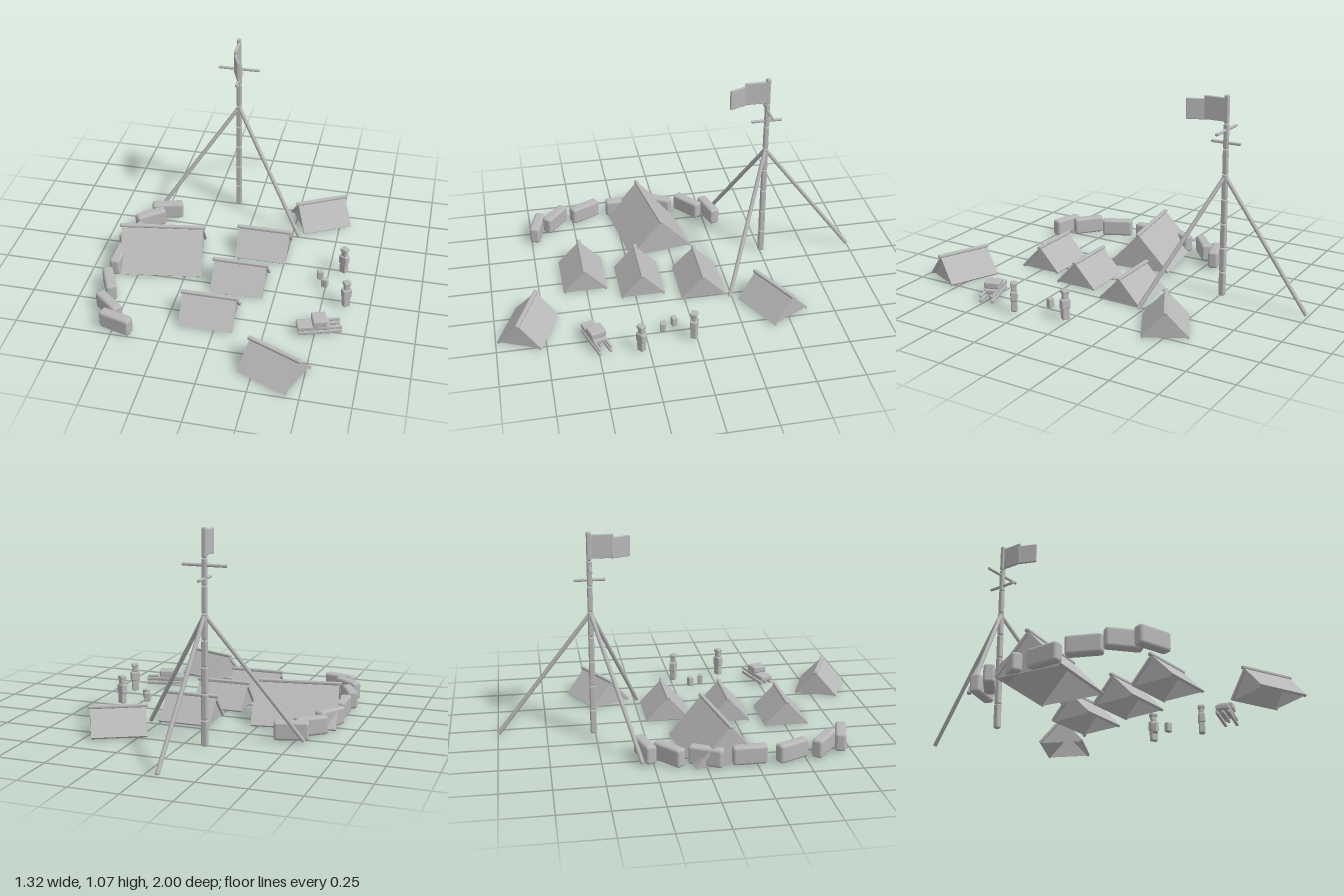
import * as THREE from 'three';
import { RoundedBoxGeometry } from 'three/addons/geometries/RoundedBoxGeometry.js';

const grey = new THREE.MeshStandardMaterial({ color: 0xb8b8b8, side: THREE.DoubleSide });
grey.name = 'plain grey';

function add(parent, name, geometry, x = 0, y = 0, z = 0, turn = 0) {
  const mesh = new THREE.Mesh(geometry, grey);
  mesh.name = name;
  mesh.position.set(x, y, z);
  mesh.rotation.y = turn;
  parent.add(mesh);
  return mesh;
}

function group(parent, name, x, z, turn = 0) {
  const g = new THREE.Group();
  g.name = name;
  g.position.set(x, 0, z);
  g.rotation.y = turn;
  parent.add(g);
  return g;
}

const box = (w, h, d) => new THREE.BoxGeometry(w, h, d);
const soft = (w, h, d, r) => new RoundedBoxGeometry(w, h, d, 2, r);
const polygon = (pts) => new THREE.Shape(pts.map(([x, y]) => new THREE.Vector2(x, y)));

// Straight bar between two points
function bar(parent, name, a, b, radius) {
  const from = new THREE.Vector3(...a), to = new THREE.Vector3(...b);
  const dir = to.clone().sub(from);
  const mesh = add(parent, name, new THREE.CylinderGeometry(radius, radius, dir.length(), 8));
  mesh.position.copy(from).add(to).multiplyScalar(0.5);
  mesh.quaternion.setFromUnitVectors(new THREE.Vector3(0, 1, 0), dir.normalize());
}

// Ridge tent: folded canvas, recessed end walls and a ridge pole along x
function tent(parent, name, x, z, turn, length, half, h) {
  const g = group(parent, name, x, z, turn);
  const top = h - 0.008;
  const canvas = new THREE.ExtrudeGeometry(polygon([
    [0, top], [half, 0.009], [half - 0.01, 0], [0, top - 0.018], [0.01 - half, 0], [-half, 0.009],
  ]), { depth: length, bevelEnabled: false });
  canvas.translate(0, 0, -length / 2).rotateY(Math.PI / 2);
  add(g, 'canvas', canvas);
  for (const s of [-1, 1]) {
    const wall = new THREE.ShapeGeometry(polygon([[0.01 - half, 0.002], [half - 0.01, 0.002], [0, top - 0.016]]));
    wall.rotateY(s * Math.PI / 2);
    add(g, 'endWall', wall, s * (length / 2 - 0.012));
  }
  add(g, 'ridgePole', soft(length + 0.022, 0.017, 0.022, 0.006), 0, h - 0.0085, 0);
}

// Standing figure made of rounded blocks
function figure(parent, x, z, turn) {
  const g = group(parent, 'figure', x, z, turn);
  add(g, 'legs', soft(0.038, 0.062, 0.032, 0.006), 0, 0.041, 0);
  add(g, 'torso', soft(0.05, 0.054, 0.036, 0.008), 0, 0.093, 0);
  add(g, 'head', soft(0.03, 0.034, 0.028, 0.007), 0, 0.134, 0);
  add(g, 'helmet', soft(0.039, 0.021, 0.036, 0.007), 0, 0.157, 0);
}

// Segmented mast with stays, crossbars and a folded panel
function mast(parent) {
  const x = -0.11, z = -0.508;
  const g = group(parent, 'mast', 0, 0);
  const step = 0.132;
  for (let i = 0; i < 8; i++) {
    const w = 0.032 - i * 0.001;
    const len = i === 7 ? 0.146 : step;
    add(g, 'mastSegment', soft(w, len, w, 0.008), x, i * step + len / 2, z);
  }
  for (const end of [[-0.55, 0.012, -0.305], [0.295, 0.012, -0.235], [-0.067, 0.012, -0.995]]) {
    bar(g, 'stay', [x, 0.65, z], end, 0.011);
  }
  bar(g, 'wideCrossbar', [x - 0.113, 0.89, z], [x + 0.113, 0.89, z], 0.008);
  bar(g, 'deepCrossbar', [x, 0.825, z - 0.08], [x, 0.825, z + 0.08], 0.008);
  add(g, 'innerPanel', soft(0.016, 0.122, 0.12, 0.004), x + 0.004, 0.994, -0.445);
  add(g, 'outerPanel', soft(0.014, 0.108, 0.108, 0.004), -0.09, 0.984, -0.35, 0.38);
}

// Low cargo sled on long runners
function sled(parent) {
  const g = group(parent, 'cargoSled', 0.51, 0.505, 0.31);
  for (const z of [-0.03, 0.03]) {
    add(g, 'runner', soft(0.22, 0.018, 0.015, 0.004), 0.01, 0.019, z);
    add(g, 'shaft', soft(0.12, 0.014, 0.013, 0.004), 0.06, 0.044, z);
  }
  add(g, 'centreRunner', soft(0.16, 0.018, 0.015, 0.004), -0.02, 0.019, 0);
  add(g, 'deck', soft(0.165, 0.026, 0.07, 0.006), -0.023, 0.044, 0);
  add(g, 'cargoBox', soft(0.075, 0.036, 0.082, 0.008), 0.008, 0.074, 0);
}

export function createModel() {
  const root = new THREE.Group();
  root.name = 'camp';

  // Tents
  tent(root, 'largeTent', -0.405, 0.08, 0.157, 0.44, 0.177, 0.213);
  for (const [x, z, turn] of [
    [0.12, -0.102, 0], [0.053, 0.21, 0], [-0.045, 0.505, 0], [0.385, -0.445, 0.489], [0.35, 0.83, -0.405],
  ]) tent(root, 'smallTent', x, z, turn, 0.28, 0.118, 0.143);

  // Curved barrier of rounded blocks
  for (const [x, z, turn] of [
    [-0.48, -0.285, 0.28], [-0.55, -0.175, 0.69], [-0.602, 0, 1.08], [-0.617, 0.212, 1.571],
    [-0.602, 0.428, -1.13], [-0.55, 0.603, -0.7], [-0.48, 0.71, -0.28],
  ]) add(root, 'barrierBlock', soft(0.175, 0.096, 0.056, 0.015), x, 0.054, z, turn);

  mast(root);
  sled(root);

  // People and small crates
  figure(root, 0.577, 0.015, -0.5);
  figure(root, 0.625, 0.29, 0.6);
  add(root, 'crate', soft(0.034, 0.052, 0.028, 0.006), 0.463, 0.035, 0.097, 0.25);
  add(root, 'crate', soft(0.034, 0.052, 0.028, 0.006), 0.496, 0.035, 0.16, -0.25);
  return root;
}
